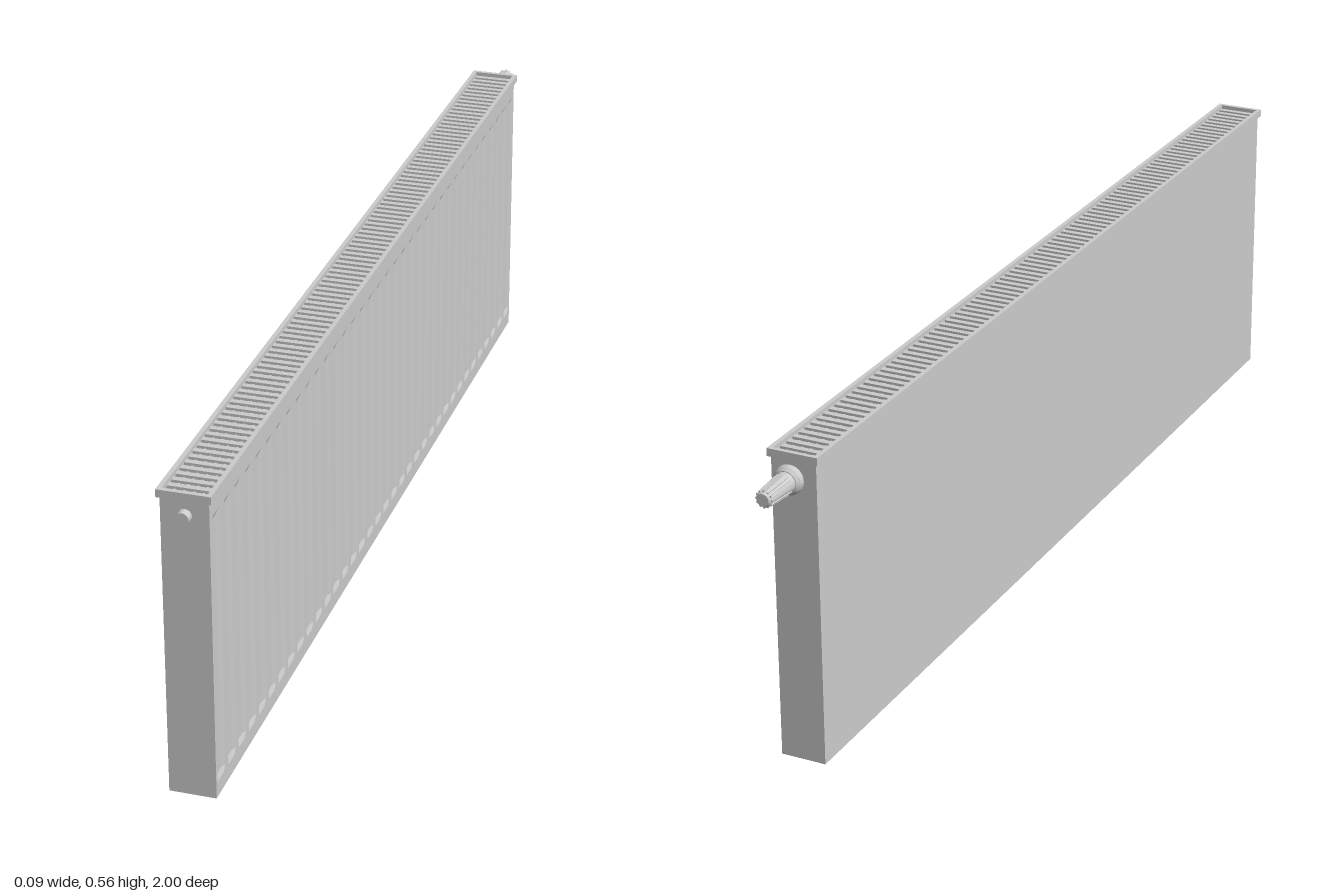
import * as THREE from 'three';
import { mergeGeometries } from 'three/addons/utils/BufferGeometryUtils.js';

const Z0 = -0.9, Z1 = 0.985, ZC = (Z0 + Z1) / 2, LEN = Z1 - Z0;
const HALF = 0.041, TOP = 0.55, PIPE_Y = 0.52;

const box = (w, h, d, x, y, z) => new THREE.BoxGeometry(w, h, d).translate(x, y, z);

// Pressed sheet: a row of shallow recessed flutes with sloped edges
function flutedPanel() {
  const count = 36, pitch = LEN / count, depth = 0.004;
  const rows = [[0, 0], [0.028, 0], [0.038, 1], [0.508, 1], [0.518, 0], [TOP, 0]];
  const cols = [[Z0, 0]];
  for (let i = 0; i < count; i++) {
    for (const [f, d] of [[0.14, 0], [0.3, 1], [0.7, 1], [0.86, 0]]) cols.push([Z0 + (i + f) * pitch, d]);
  }
  cols.push([Z1, 0]);
  const pos = [], index = [];
  for (const [y, ry] of rows) for (const [z, rz] of cols) pos.push(HALF - depth * ry * rz, y, z);
  const n = cols.length;
  for (let r = 0; r < rows.length - 1; r++) {
    for (let c = 0; c < n - 1; c++) {
      const a = r * n + c, b = a + 1, d = a + n, e = d + 1;
      index.push(a, d, b, b, d, e);
    }
  }
  const g = new THREE.BufferGeometry();
  g.setAttribute('position', new THREE.Float32BufferAttribute(pos, 3));
  g.setIndex(index);
  const flat = g.toNonIndexed();
  flat.computeVertexNormals();
  return flat;
}

export function createModel() {
  const group = new THREE.Group();
  const grey = new THREE.MeshStandardMaterial({ color: 0xcccccc });
  const sheet = new THREE.MeshStandardMaterial({ color: 0xcccccc, side: THREE.DoubleSide });
  const add = (name, geo, mat = grey) => {
    const m = new THREE.Mesh(geo, mat);
    m.name = name;
    group.add(m);
    return m;
  };

  // Casing: fluted face, plain back, end plates and floor
  add('flutedPanel', flutedPanel(), sheet);
  add('backPanel', box(0.004, TOP, LEN, -HALF + 0.002, TOP / 2, ZC));
  for (const [name, z] of [['frontEndPlate', Z1 - 0.002], ['rearEndPlate', Z0 + 0.002]]) {
    add(name, box(HALF * 2, TOP, 0.004, 0, TOP / 2, z));
  }
  add('bottomPlate', box(HALF * 2, 0.004, LEN, 0, 0.002, ZC));

  // Rim around the top opening
  const rimLen = LEN + 0.01, rimH = 0.014, rimY = 0.555, rimT = 0.008;
  add('topRim', mergeGeometries([
    box(rimT, rimH, rimLen, 0.042, rimY, ZC),
    box(rimT, rimH, rimLen, -0.042, rimY, ZC),
    box(0.076, rimH, rimT, 0, rimY, ZC + rimLen / 2 - rimT / 2),
    box(0.076, rimH, rimT, 0, rimY, ZC - rimLen / 2 + rimT / 2),
  ]));

  // Grille: close cross bars over lengthwise rods
  const bars = [], rods = [], n = 94;
  for (let i = 0; i < n; i++) bars.push(box(0.078, 0.006, 0.011, 0, 0.552, Z0 + (i + 0.5) * LEN / n));
  for (const x of [-0.024, -0.008, 0.008, 0.024]) rods.push(box(0.004, 0.006, LEN - 0.006, x, 0.548, ZC));
  add('grilleBars', mergeGeometries(bars));
  add('grilleRods', mergeGeometries(rods));

  // Plug on the front end
  add('ventPlug', new THREE.CylinderGeometry(0.012, 0.012, 0.02, 24)
    .rotateX(Math.PI / 2).translate(0, PIPE_Y, 0.99));

  // Thermostatic valve on the rear end: collar, tapered head and grip ribs
  const valve = new THREE.Group();
  valve.name = 'thermostaticValve';
  valve.position.set(0, PIPE_Y, Z0);
  valve.rotation.x = -Math.PI / 2;
  const turn = (name, pts) => {
    const geo = new THREE.LatheGeometry(pts.map(([r, y]) => new THREE.Vector2(r, y)), 28).toNonIndexed();
    geo.computeVertexNormals();
    const m = new THREE.Mesh(geo, grey);
    m.name = name;
    valve.add(m);
  };
  turn('valveCollar', [[0, 0], [0.013, 0], [0.013, 0.007], [0.023, 0.009], [0.026, 0.014],
    [0.025, 0.022], [0.02, 0.028], [0, 0.028]]);
  turn('valveHead', [[0, 0.026], [0.019, 0.026], [0.017, 0.045], [0.0135, 0.096], [0.011, 0.1], [0, 0.1]]);
  for (let i = 0; i < 12; i++) {
    const arm = new THREE.Group();
    arm.rotation.y = i * Math.PI / 6;
    const rib = new THREE.Mesh(new THREE.BoxGeometry(0.003, 0.06, 0.0045), grey);
    rib.name = 'gripRib';
    rib.position.set(0, 0.066, 0.0152);
    rib.rotation.x = -0.06;
    arm.add(rib);
    valve.add(arm);
  }
  group.add(valve);
  return group;
}
